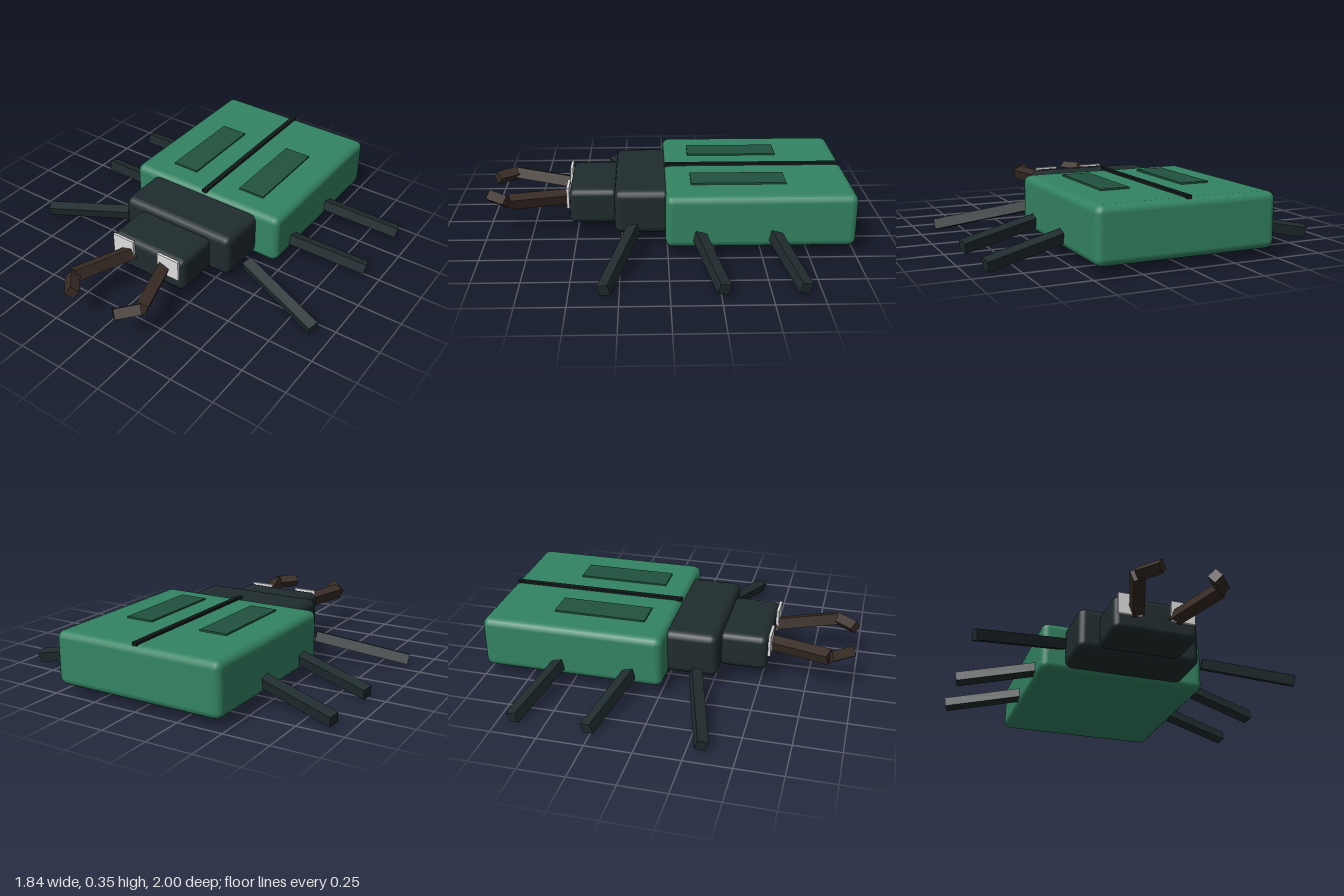
import * as THREE from 'three';
import { RoundedBoxGeometry } from 'three/addons/geometries/RoundedBoxGeometry.js';

const mat = (name, color) => {
  const m = new THREE.MeshStandardMaterial({ color });
  m.name = name;
  return m;
};

export function createModel() {
  const green = mat('shell green', 0x338463);
  const darkGreen = mat('spot green', 0x22523f);
  const charcoal = mat('body charcoal', 0x202c2e);
  const black = mat('seam black', 0x121919);
  const brown = mat('jaw brown', 0x382c25);
  const white = mat('eye white', 0xdedede);

  const model = new THREE.Group();
  model.name = 'beetle';

  const add = (name, geometry, material) => {
    const mesh = new THREE.Mesh(geometry, material);
    mesh.name = name;
    model.add(mesh);
    return mesh;
  };

  // Box given by its low and high corners, rounded when a radius is given
  const block = (name, lo, hi, material, radius = 0) => {
    const size = hi.map((v, i) => v - lo[i]);
    const geometry = radius
      ? new RoundedBoxGeometry(...size, 2, radius)
      : new THREE.BoxGeometry(...size);
    add(name, geometry, material)
      .position.set(...hi.map((v, i) => (v + lo[i]) / 2));
  };

  // Square bar running from one point to another
  const bar = (name, from, to, width, material) => {
    const a = new THREE.Vector3(...from);
    const b = new THREE.Vector3(...to);
    const dir = b.clone().sub(a);
    const mesh = add(name, new THREE.BoxGeometry(width, dir.length(), width), material);
    mesh.position.copy(a).add(b).multiplyScalar(0.5);
    mesh.quaternion.setFromUnitVectors(new THREE.Vector3(0, 1, 0), dir.normalize());
  };

  // Shell, thorax and head
  block('shell', [-0.485, 0.05, -1], [0.485, 0.34, 0.012], green, 0.04);
  block('thorax', [-0.35, 0.073, -0.02], [0.35, 0.32, 0.285], charcoal, 0.04);
  block('head', [-0.235, 0.085, 0.265], [0.235, 0.285, 0.535], charcoal, 0.035);

  // Seam between the wing cases
  block('wingSeam', [-0.014, 0.335, -0.982], [0.014, 0.353, 0.008], black);

  for (const [side, s] of [['left', 1], ['right', -1]]) {
    const span = (x0, x1) => (s > 0 ? [x0, x1] : [-x1, -x0]);

    // Painted wing spot
    const [p0, p1] = span(0.148, 0.305);
    block(`${side}WingSpot`, [p0, 0.341, -0.64], [p1, 0.35, -0.127], darkGreen);

    // Eye plate on the face
    const [e0, e1] = span(0.08, 0.215);
    block(`${side}Eye`, [e0, 0.17, 0.535], [e1, 0.29, 0.55], white);

    // Two-part jaw, bending inward at the tip
    bar(`${side}JawBase`, [s * 0.105, 0.2, 0.52], [s * 0.222, 0.217, 0.865], 0.062, brown);
    bar(`${side}JawTip`, [s * 0.222, 0.217, 0.872], [s * 0.137, 0.217, 0.977], 0.055, brown);

    // Three legs
    for (const [name, z0, z1] of [
      ['FrontLeg', 0.18, 0.325],
      ['MiddleLeg', -0.15, -0.265],
      ['RearLeg', -0.55, -0.665],
    ]) {
      bar(side + name, [s * 0.405, 0.13, z0], [s * 0.907, 0.036, z1], 0.058, charcoal);
    }
  }

  return model;
}
